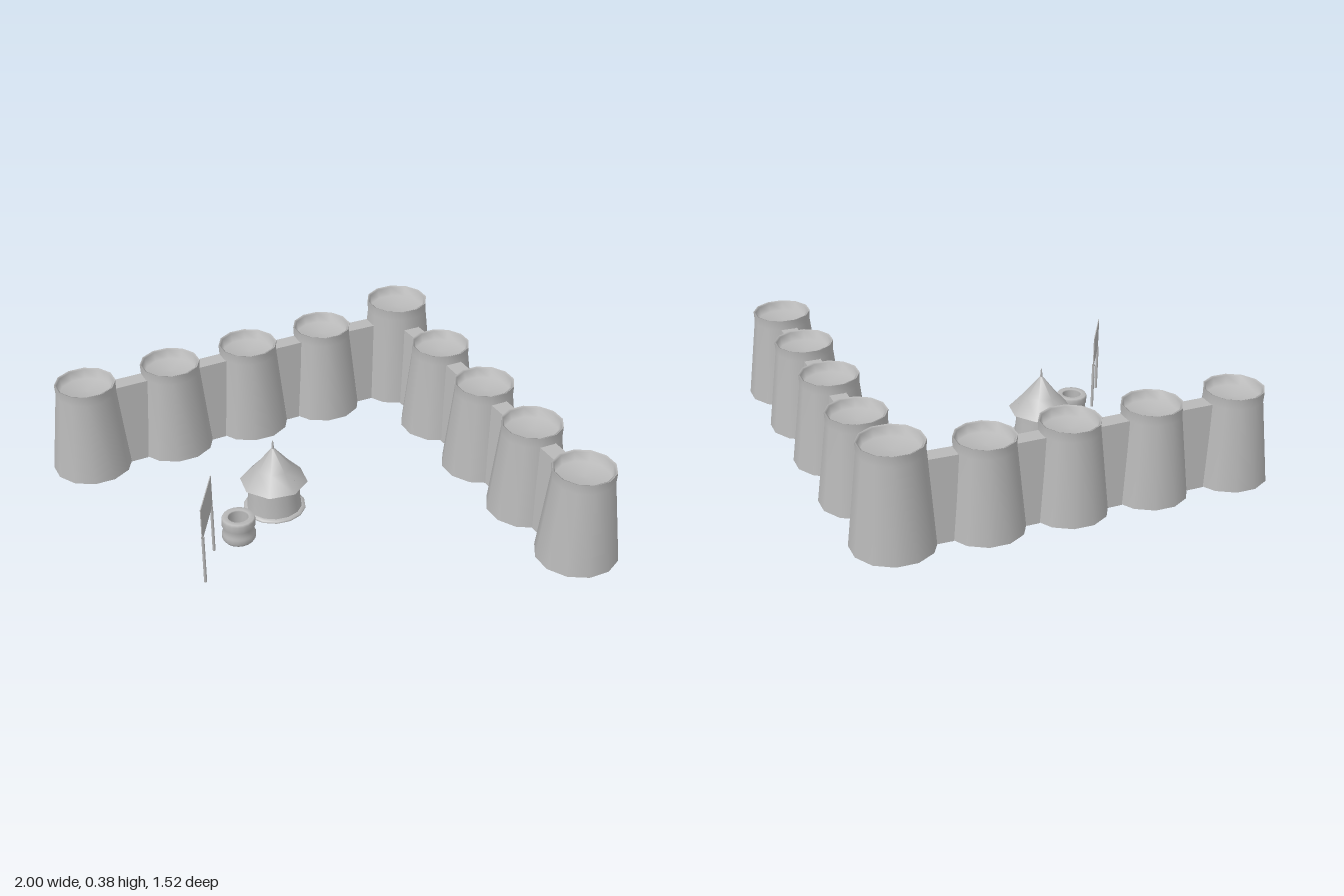
import * as THREE from 'three';

const stone = new THREE.MeshStandardMaterial({ color: 0xb8b8b8, side: THREE.DoubleSide });
stone.name = 'grey stone';

function mesh(name, geometry, x = 0, y = 0, z = 0) {
  const m = new THREE.Mesh(geometry, stone);
  m.name = name;
  m.position.set(x, y, z);
  return m;
}

function lathe(points, sides) {
  return new THREE.LatheGeometry(points.map(([r, y]) => new THREE.Vector2(r, y)), sides);
}

// Tapered hollow tower with a slightly flared lip and a sunken roof floor
function tower(x, z, height, base, top) {
  const g = new THREE.Group();
  g.name = 'tower';
  g.position.set(x, 0, z);
  const floorY = height - 0.035;
  g.add(mesh('towerShell', lathe([
    [base, 0.015], [top - 0.002, floorY], [top, height],
  ], 12)));
  g.add(mesh('towerRoof', lathe([
    [top, height], [top - 0.008, height - 0.003], [top - 0.014, floorY], [0, floorY - 0.003],
  ], 12)));
  return g;
}

// Wall between two towers: thicker at the foot, its ends following the taper of the towers
function wall(a, b) {
  const dx = b[0] - a[0], dz = b[1] - a[1], half = Math.hypot(dx, dz) / 2;
  const geo = new THREE.BoxGeometry(1, 1, 1);
  const p = geo.attributes.position;
  for (let i = 0; i < p.count; i++) {
    const up = p.getY(i) > 0;
    const length = half - (up ? 0.095 : 0.125);
    const thick = up ? 0.03 : 0.055;
    p.setXYZ(i, Math.sign(p.getX(i)) * length, up ? 0.31 : 0.015, Math.sign(p.getZ(i)) * thick);
  }
  geo.computeVertexNormals();
  const m = mesh('wall', geo, (a[0] + b[0]) / 2, 0, (a[1] + b[1]) / 2);
  m.rotation.y = -Math.atan2(dz, dx);
  return m;
}

// Round hut with a plinth, a concave pointed roof and a finial
function hut() {
  const g = new THREE.Group();
  g.name = 'hut';
  g.position.set(-0.165, 0, 0.285);
  g.add(mesh('hutPlinth', lathe([[0.106, 0.006], [0.106, 0.013], [0.094, 0.016]], 14)));
  g.add(mesh('hutBody', lathe([[0.094, 0.014], [0.089, 0.06], [0.084, 0.14]], 14)));
  const roof = mesh('hutRoof', lathe([[0.115, 0.113], [0.062, 0.17], [0.005, 0.24]], 8));
  roof.rotation.y = 0.25;
  g.add(roof);
  g.add(mesh('hutFinial', new THREE.CylinderGeometry(0.002, 0.005, 0.035, 6), 0, 0.252, 0));
  return g;
}

// Small ringed well with an open middle
function well() {
  return mesh('well', lathe([
    [0.034, 0.003], [0.05, 0.003], [0.056, 0.012], [0.056, 0.03], [0.052, 0.035],
    [0.052, 0.055], [0.056, 0.06], [0.056, 0.082], [0.053, 0.09],
    [0.035, 0.09], [0.034, 0.085], [0.034, 0.003],
  ], 18), -0.21, 0, 0.49);
}

// Thin board on two posts
function sign() {
  const g = new THREE.Group();
  g.name = 'sign';
  g.position.set(-0.24, 0, 0.662);
  g.rotation.y = Math.atan2(0.185, 0.047);
  const board = mesh('signBoard', new THREE.BoxGeometry(0.19, 0.113, 0.003), 0, 0.233, 0);
  g.add(board);
  for (const s of [-1, 1]) {
    g.add(mesh('signPost', new THREE.CylinderGeometry(0.005, 0.005, 0.175, 6), s * 0.083, 0.0925, 0));
  }
  // The far end of the board leans towards +x
  g.rotation.y = Math.atan2(0.185, -0.047) - Math.PI;
  return g;
}

export function createModel() {
  const model = new THREE.Group();
  model.name = 'fortress';
  const centres = [
    [-0.865, 0.26], [-0.65, 0.035], [-0.445, -0.185], [-0.24, -0.4], [-0.018, -0.617],
    [0.212, -0.41], [0.43, -0.195], [0.645, 0.01], [0.86, 0.22],
  ];
  centres.forEach(([x, z], i) => {
    const corner = i === 4;
    model.add(tower(x, z, corner ? 0.385 : 0.345, corner ? 0.144 : 0.138, corner ? 0.112 : 0.105));
    if (i > 0) model.add(wall(centres[i - 1], centres[i]));
  });
  model.add(hut(), well(), sign());
  return model;
}
